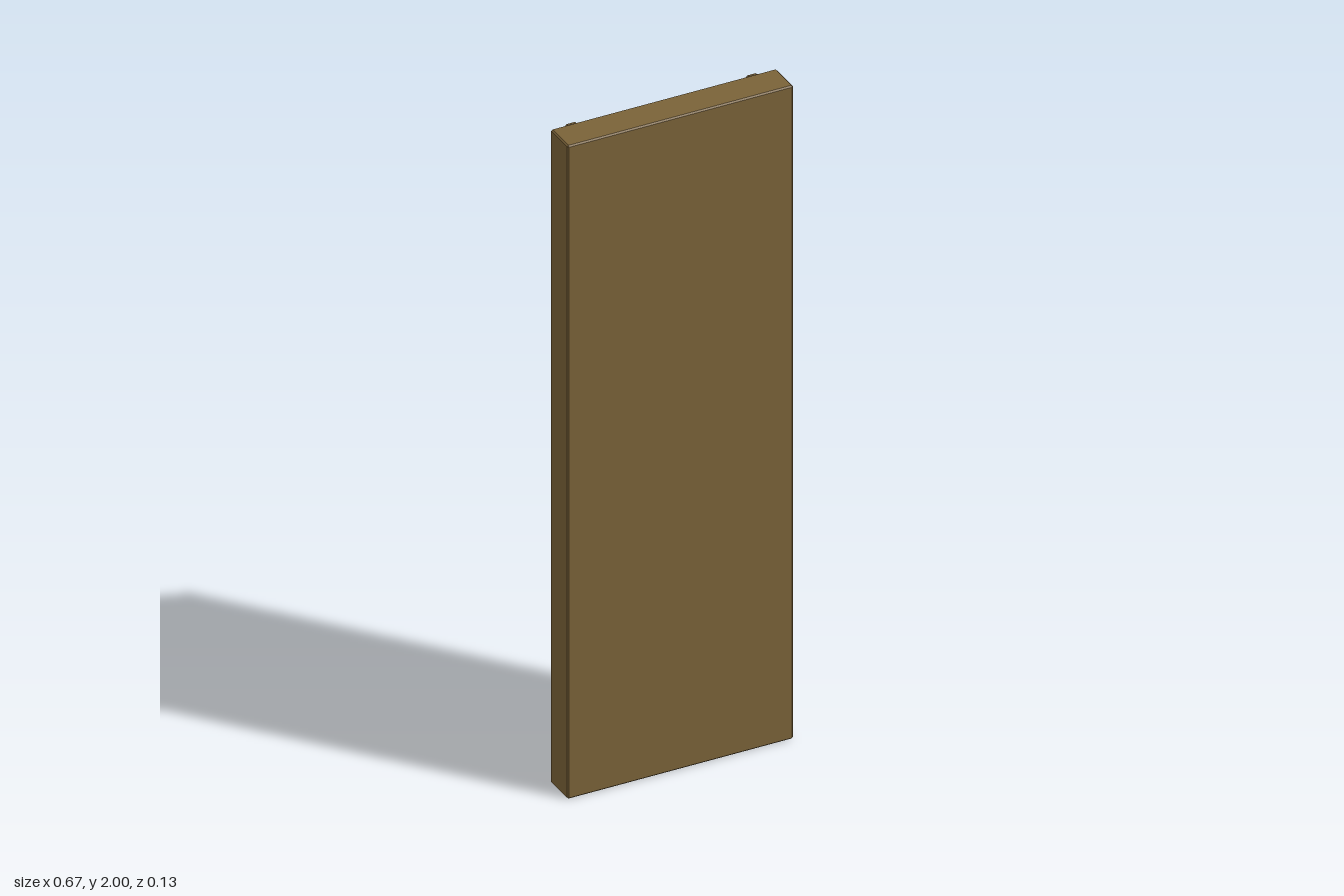
import * as THREE from 'three';
import { ConvexGeometry } from 'three/addons/geometries/ConvexGeometry.js';

const wood = new THREE.MeshStandardMaterial({ color: 0x7a6238, flatShading: true });

// Box with every edge chamfered by c
function chamferedBox(w, h, d, c) {
  const points = [];
  for (const sx of [-1, 1]) for (const sy of [-1, 1]) for (const sz of [-1, 1]) {
    for (let axis = 0; axis < 3; axis++) {
      const inset = [c, c, c];
      inset[axis] = 0;
      points.push(new THREE.Vector3(
        sx * (w / 2 - inset[0]), sy * (h / 2 - inset[1]), sz * (d / 2 - inset[2])));
    }
  }
  return new ConvexGeometry(points);
}

export function createModel() {
  const group = new THREE.Group();
  const add = (name, geometry, x, y, z) => {
    const mesh = new THREE.Mesh(geometry, wood);
    mesh.name = name;
    mesh.position.set(x, y, z);
    group.add(mesh);
  };

  // Thick panel
  add('panel', chamferedBox(0.666, 2, 0.098, 0.004), 0, 1, 0.0125);

  // Upright straps on the back
  const strap = chamferedBox(0.034, 1.988, 0.016, 0.005);
  for (const s of [-1, 1]) add('uprightStrap', strap, s * 0.267, 1, -0.0455);

  // Seven cross straps, flush with the uprights
  const cross = chamferedBox(0.632, 0.034, 0.016, 0.005);
  for (let i = 0; i < 7; i++) add('crossStrap', cross, 0, 0.14 + i * 0.2667, -0.0455);

  // Nine rows of paired rivets, chamfered at both ends
  const profile = [[0, -0.013], [0.0105, -0.013], [0.0155, -0.008], [0.0155, 0.008], [0.0105, 0.013], [0, 0.013]]
    .map(([r, y]) => new THREE.Vector2(r, y));
  const rivet = new THREE.LatheGeometry(profile, 8);
  rivet.rotateX(-Math.PI / 2);
  for (let i = 0; i < 9; i++) {
    for (const s of [-1, 1]) add('rivet', rivet, s * 0.184, 0.27 + i * 0.2, -0.051);
  }

  return group;
}
